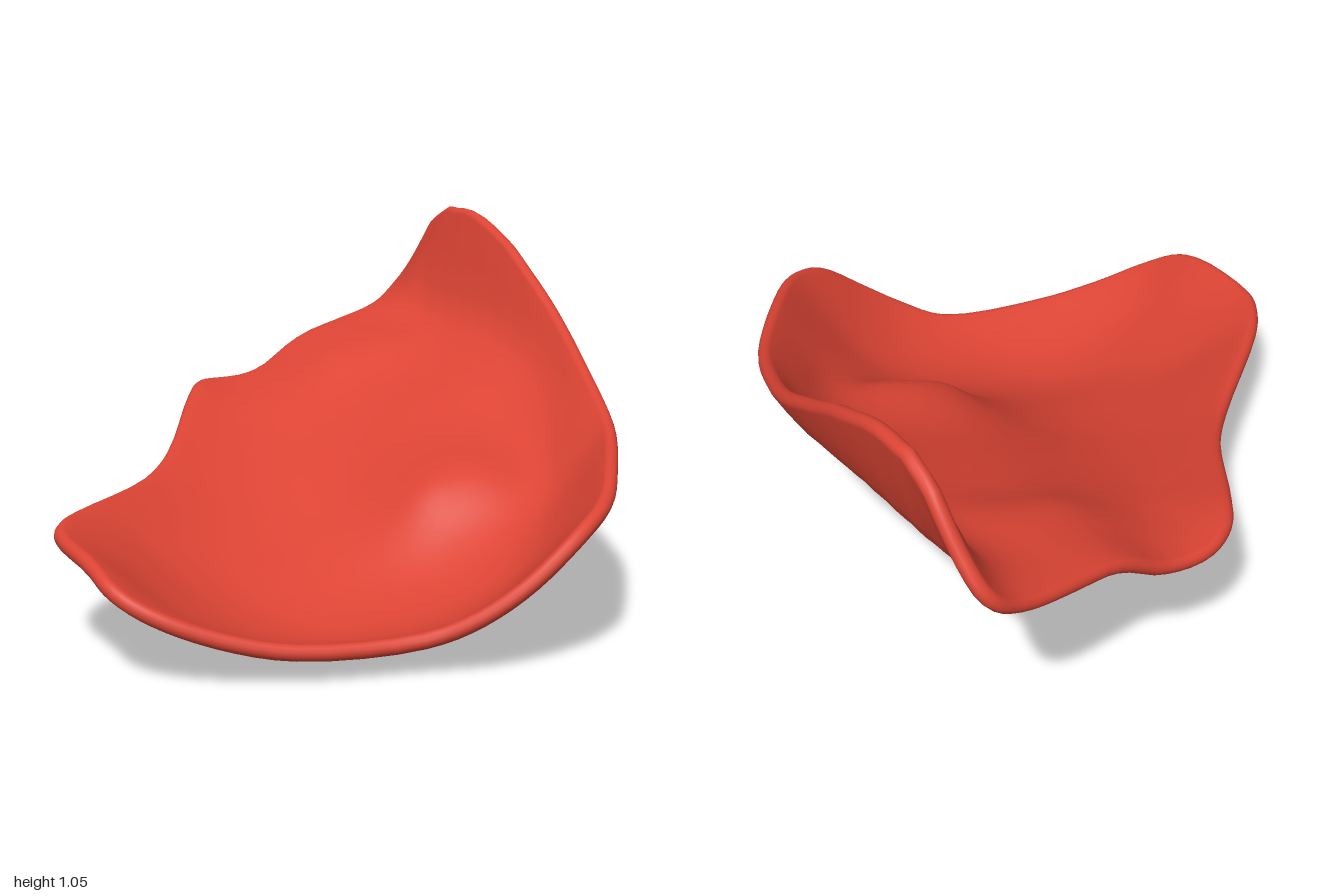
import * as THREE from 'three';

const HALF = 0.022; // half thickness of the petal

// Rim of the petal, as x, y, z
const RIM = [
  [0.15, 0.485, -0.92], [0.29, 0.5, -0.92], [0.46, 0.6, -0.925], [0.66, 0.65, -0.955],
  [0.8, 0.69, -0.972], [0.89, 0.755, -0.975],
  [0.92, 0.87, -0.89], [0.925, 1.01, -0.77], [0.922, 1.04, -0.64], [0.91, 0.97, -0.42], [0.875, 0.84, -0.18],
  [0.835, 0.735, 0], [0.76, 0.63, 0.21], [0.63, 0.52, 0.49], [0.44, 0.465, 0.74], [0.28, 0.41, 0.91],
  [0.15, 0.355, 0.97], [0.02, 0.25, 0.955], [-0.1, 0.16, 0.9], [-0.22, 0.1, 0.82], [-0.54, 0.09, 0.71],
  [-0.72, 0.13, 0.63], [-0.86, 0.19, 0.55], [-0.925, 0.24, 0.47], [-0.93, 0.28, 0.37], [-0.9, 0.305, 0.1],
  [-0.85, 0.31, 0.01], [-0.76, 0.31, -0.08], [-0.42, 0.32, -0.33], [-0.26, 0.365, -0.48],
  [-0.02, 0.475, -0.79], [0.06, 0.49, -0.88],
];

// Raised side wall: a line half way up, and a line along its foot
const WALL_MIDDLE = [
  [0.87, 0.79, -0.85], [0.878, 0.82, -0.6], [0.865, 0.79, -0.4], [0.825, 0.7, -0.15],
  [0.775, 0.62, 0.05], [0.68, 0.53, 0.27], [0.55, 0.44, 0.48],
];
const WALL_FOOT = [
  [0.8, 0.705, -0.85], [0.81, 0.695, -0.6], [0.79, 0.67, -0.4], [0.745, 0.605, -0.15], [0.7, 0.54, 0.05],
  [0.6, 0.445, 0.27], [0.48, 0.36, 0.47], [0.33, 0.28, 0.62], [0.2, 0.205, 0.72],
];

// Sag and dents inside the rim, as x, y, z
const INSIDE = [
  [-0.3, 0.027, 0.52], [-0.1, 0.06, 0.6], [-0.55, 0.06, 0.5], [-0.75, 0.15, 0.4], [-0.62, 0.13, 0.25],
  [-0.6, 0.21, 0], [-0.4, 0.05, 0.33], [-0.28, 0.12, 0.14], [-0.28, 0.185, -0.05], [-0.15, 0.245, -0.2],
  [-0.05, 0.325, -0.4], [0.02, 0.4, -0.6], [0.15, 0.46, -0.77],
  [0, 0.15, 0.33], [0, 0.23, 0], [0.05, 0.16, 0.8], [0.2, 0.345, 0], [0.4, 0.45, -0.2],
  [0.6, 0.53, -0.2], [0.3, 0.465, -0.5], [0.43, 0.575, -0.64], [0.5, 0.54, -0.5], [0.65, 0.625, -0.6],
  // fold near the middle
  [0.18, 0.33, 0.25], [0.2, 0.25, 0.37], [0.33, 0.36, 0.32], [0.36, 0.305, 0.44], [0.1, 0.27, 0.18],
];

const curveOf = (points, closed) =>
  new THREE.CatmullRomCurve3(points.map(p => new THREE.Vector3(...p)), closed);
const sample = (points, n, closed) => curveOf(points, closed)
  .getSpacedPoints(n).slice(closed ? 1 : 0).map(p => p.toArray());

// Thin-plate surface y(x, z) through the control points
function makeHeight(points) {
  const n = points.length, size = n + 3;
  const bend = (dx, dz) => { const r = dx * dx + dz * dz; return r < 1e-10 ? 0 : r * Math.log(r); };
  const m = Array.from({ length: size }, () => new Array(size + 1).fill(0));
  points.forEach((p, i) => {
    points.forEach((q, j) => { m[i][j] = bend(p[0] - q[0], p[2] - q[2]); });
    m[i][i] += 0.001;
    [1, p[0], p[2]].forEach((v, k) => { m[i][n + k] = m[n + k][i] = v; });
    m[i][size] = p[1];
  });
  for (let c = 0; c < size; c++) {
    let best = c;
    for (let r = c + 1; r < size; r++) if (Math.abs(m[r][c]) > Math.abs(m[best][c])) best = r;
    [m[c], m[best]] = [m[best], m[c]];
    for (let r = 0; r < size; r++) {
      if (r === c) continue;
      const f = m[r][c] / m[c][c];
      for (let k = c; k <= size; k++) m[r][k] -= f * m[c][k];
    }
  }
  const w = m.map((row, i) => row[size] / row[i]);
  return (x, z) => points.reduce((s, p, i) => s + w[i] * bend(x - p[0], z - p[2]),
    w[n] + w[n + 1] * x + w[n + 2] * z);
}

function petalGeometry() {
  const height = makeHeight([
    ...sample(RIM, 70, true), ...sample(WALL_MIDDLE, 14, false), ...sample(WALL_FOOT, 16, false), ...INSIDE,
  ]);
  const curve = curveOf(RIM, true);
  const SPOKES = 128, RINGS = 28, ROUND = 6, CX = 0.1, CZ = 0;
  const e = 0.006;
  const normalAt = (x, z) => new THREE.Vector3(
    height(x - e, z) - height(x + e, z), 2 * e, height(x, z - e) - height(x, z + e)).normalize();

  const positions = [], index = [];
  const rows = 2 * RINGS + ROUND + 1;
  for (let s = 0; s < SPOKES; s++) {
    const rim = curve.getPoint(s / SPOKES);
    const ahead = curve.getTangent(s / SPOKES);
    const at = t => {
      const x = CX + (rim.x - CX) * t, z = CZ + (rim.z - CZ) * t;
      return { p: new THREE.Vector3(x, height(x, z), z), n: normalAt(x, z) };
    };
    const skin = (t, side) => { const { p, n } = at(t); return p.addScaledVector(n, side * HALF); };
    const row = [];
    // upper skin, from the middle outwards
    for (let i = 0; i < RINGS; i++) row.push(skin(i / RINGS, 1));
    // rounded rim
    const edge = at(1);
    const out = new THREE.Vector3().crossVectors(edge.n, ahead).normalize();
    for (let k = 0; k <= ROUND; k++) {
      const a = Math.PI * k / ROUND;
      row.push(edge.p.clone().addScaledVector(edge.n, HALF * Math.cos(a)).addScaledVector(out, HALF * Math.sin(a)));
    }
    // lower skin, back to the middle
    for (let i = RINGS - 1; i >= 0; i--) row.push(skin(i / RINGS, -1));
    row.forEach(p => positions.push(p.x, p.y, p.z));
  }
  for (let s = 0; s < SPOKES; s++) {
    for (let r = 0; r < rows - 1; r++) {
      const a = s * rows + r, b = ((s + 1) % SPOKES) * rows + r;
      index.push(a, b, a + 1, b, b + 1, a + 1);
    }
  }
  const g = new THREE.BufferGeometry();
  g.setAttribute('position', new THREE.Float32BufferAttribute(positions, 3));
  g.setIndex(index);
  g.computeVertexNormals();
  // the middle points coincide, so give them the surface normal
  const mid = normalAt(CX, CZ), nor = g.attributes.normal;
  for (let s = 0; s < SPOKES; s++) {
    nor.setXYZ(s * rows, mid.x, mid.y, mid.z);
    nor.setXYZ(s * rows + rows - 1, -mid.x, -mid.y, -mid.z);
  }
  return g;
}

export function createModel() {
  const group = new THREE.Group();
  const petal = new THREE.Mesh(petalGeometry(), new THREE.MeshStandardMaterial({ color: 0xdc4434 }));
  petal.name = 'petal';
  petal.geometry.computeBoundingBox();
  petal.position.y = -petal.geometry.boundingBox.min.y;
  group.add(petal);
  return group;
}
